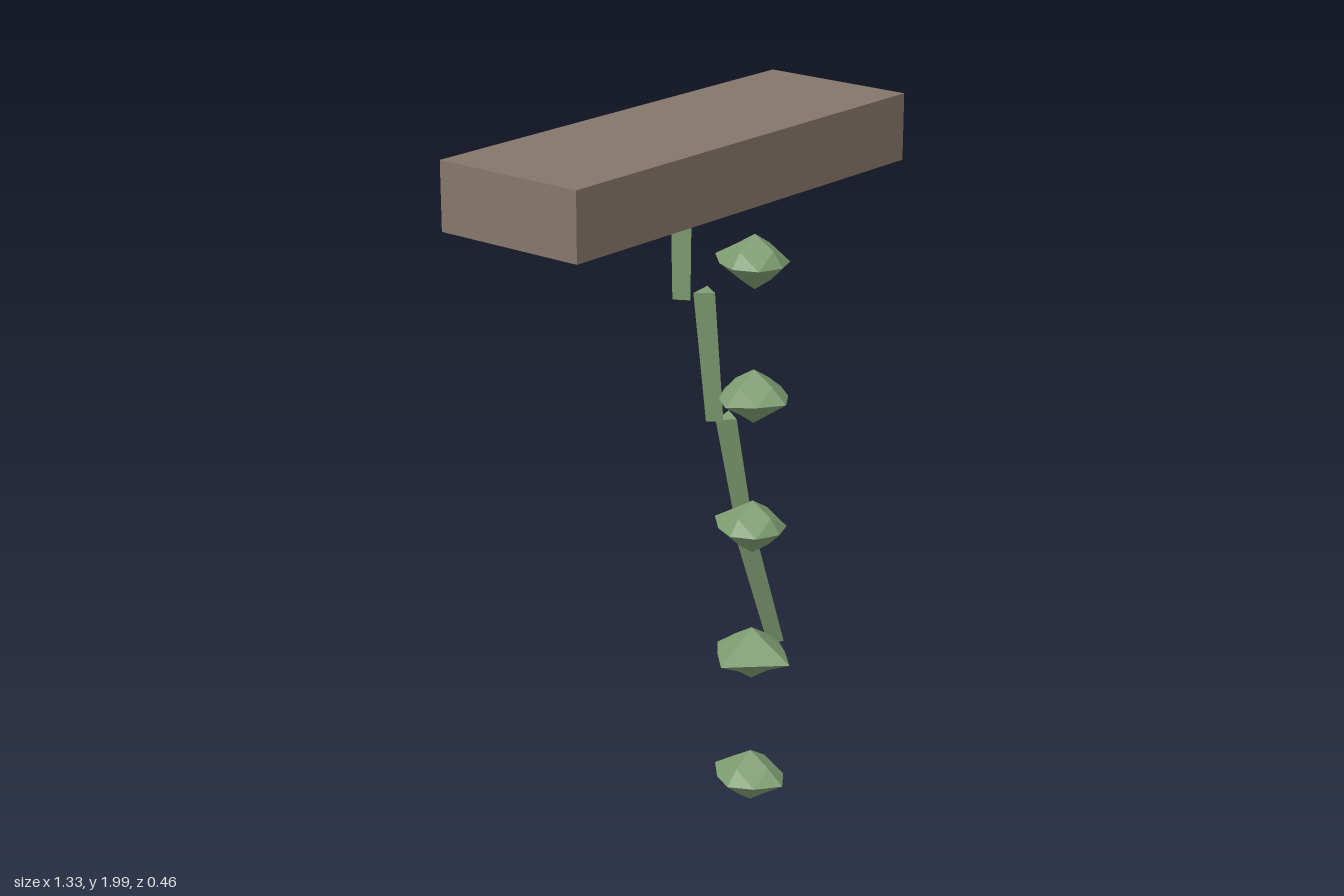
import * as THREE from 'three';

const brown = new THREE.MeshStandardMaterial({ color: 0x85766a, side: THREE.DoubleSide });
const green = new THREE.MeshStandardMaterial({ color: 0x7d9c70, flatShading: true });

// Block with its underside left open
function makeOpenBox(w, h, d) {
  const geo = new THREE.BoxGeometry(w, h, d);
  const index = Array.from(geo.index.array);
  index.splice(18, 6); // drop the bottom face
  geo.setIndex(index);
  geo.clearGroups();
  return geo;
}

// Faceted leaf cluster: a subdivided octahedron with four tips of chosen length
function makeLeaf({ px, nx, pz, nz }) {
  const geo = new THREE.OctahedronGeometry(1, 1);
  const pos = geo.attributes.position;
  const v = new THREE.Vector3();
  for (let i = 0; i < pos.count; i++) {
    v.fromBufferAttribute(pos, i);
    const ring = Math.hypot(v.x, v.z);
    if (ring > 0.9) {
      // equator: long tips on the axes, even radius between them
      if (v.x > 0.9) v.set(px, 0, 0);
      else if (v.x < -0.9) v.set(-nx, 0, 0);
      else if (v.z > 0.9) v.set(0, 0, pz);
      else if (v.z < -0.9) v.set(0, 0, -nz);
      else v.set(v.x * 0.095, 0, v.z * 0.095);
    } else if (ring > 0.1) {
      // shoulders above and below the equator
      const r = v.y > 0 ? 0.09 : 0.08;
      v.set(v.x * r, v.y > 0 ? 0.041 : -0.037, v.z * r);
    } else {
      v.set(0, v.y > 0 ? 0.079 : -0.075, 0);
    }
    pos.setXYZ(i, v.x, v.y, v.z);
  }
  geo.computeVertexNormals();
  return geo;
}

export function createModel() {
  const model = new THREE.Group();

  // Hanging block
  const block = new THREE.Mesh(makeOpenBox(1.33, 0.185, 0.455), brown);
  block.name = 'block';
  block.position.y = 1.9075;
  model.add(block);

  // Three-sided stem pieces, each leaning further than the last
  const stem = new THREE.Group();
  stem.name = 'vineStem';
  const stemGeo = new THREE.CylinderGeometry(0.034, 0.028, 0.38, 3);
  for (let i = 0; i < 4; i++) {
    const piece = new THREE.Mesh(stemGeo, green);
    piece.name = `stemPiece${i + 1}`;
    piece.position.set(0.118 * i, 1.72 - 0.379 * i, 0);
    piece.rotation.z = 0.12 * i;
    stem.add(piece);
  }
  model.add(stem);

  // Column of leaf clusters
  const leaves = new THREE.Group();
  leaves.name = 'leaves';
  const tips = [
    { px: 0.107, nx: 0.095, pz: 0.095, nz: 0.137 },
    { px: 0.12, nx: 0.122, pz: 0.112, nz: 0.104 },
    { px: 0.107, nx: 0.097, pz: 0.095, nz: 0.134 },
    { px: 0.12, nx: 0.134, pz: 0.136, nz: 0.122 },
    { px: 0.092, nx: 0.102, pz: 0.116, nz: 0.13 },
  ];
  tips.forEach((tip, i) => {
    const leaf = new THREE.Mesh(makeLeaf(tip), green);
    leaf.name = `leaf${i + 1}`;
    leaf.position.set(0.189, 1.605 - 0.38 * i, 0.094);
    leaves.add(leaf);
  });
  model.add(leaves);

  return model;
}
